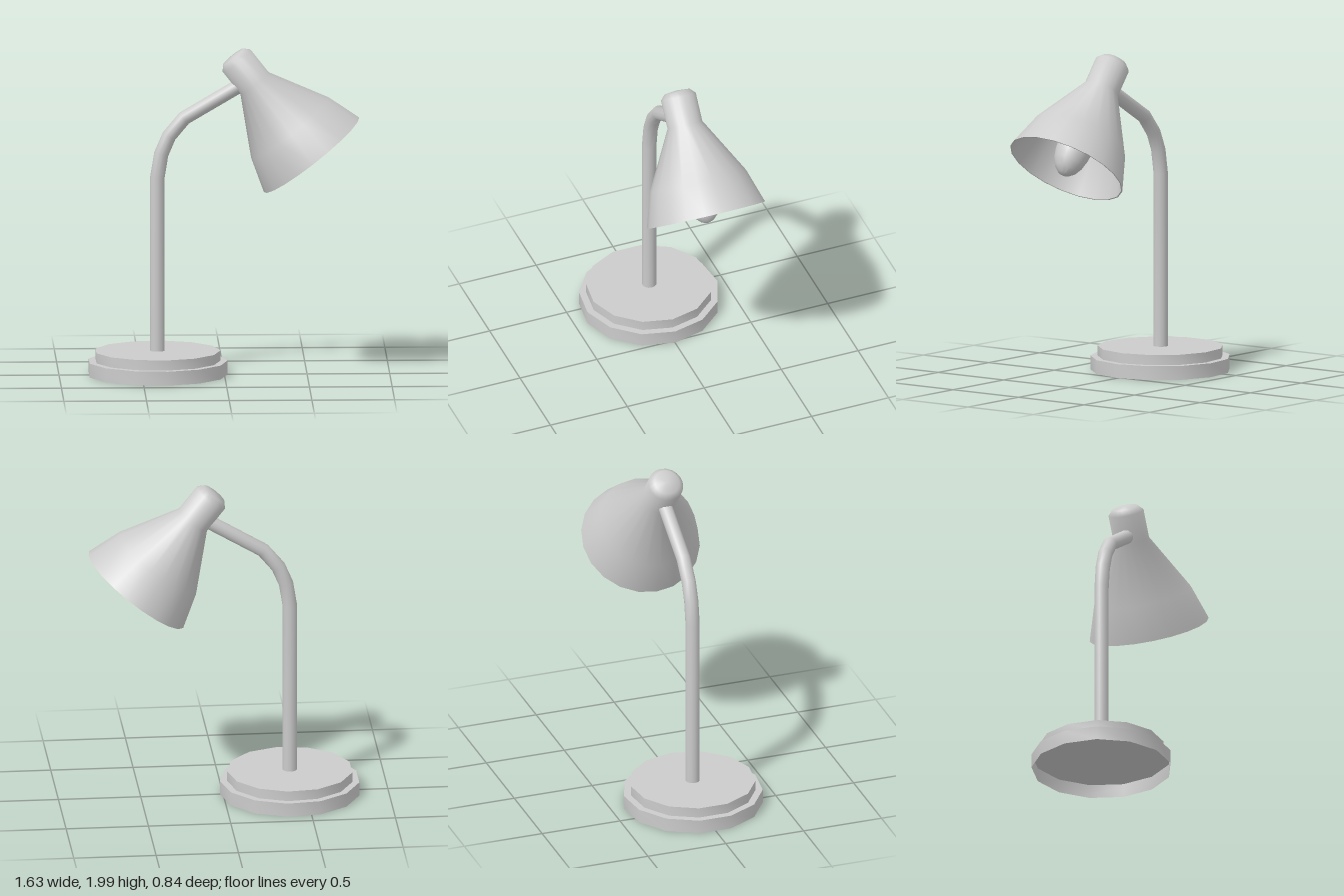
import * as THREE from 'three';
import { toCreasedNormals } from 'three/addons/utils/BufferGeometryUtils.js';

const BASE_X = -0.405;

export function createModel() {
  const lamp = new THREE.Group();
  lamp.name = 'deskLamp';
  const solid = new THREE.MeshStandardMaterial({ color: 0xcccccc });
  const open = new THREE.MeshStandardMaterial({ color: 0xcccccc, side: THREE.DoubleSide });

  const add = (parent, name, geometry, material = solid) => {
    const mesh = new THREE.Mesh(geometry, material);
    mesh.name = name;
    parent.add(mesh);
    return mesh;
  };
  const lathe = (profile, sides) => toCreasedNormals(
    new THREE.LatheGeometry(profile.map(([r, y]) => new THREE.Vector2(r, y)), sides, Math.PI / 2), 0.9);

  // Two stacked 13-sided lids, open underneath, one corner pointing to +x
  const lid = (name, radius, y0, y1) => {
    add(lamp, name, lathe([[radius, y0], [radius, y1], [0, y1]], 13), open).position.x = BASE_X;
  };
  lid('baseFoot', 0.425, 0, 0.085);
  lid('basePlate', 0.382, 0.085, 0.147);

  // Stem: upright, coarse bend, straight run into the shade's neck
  const points = [
    [BASE_X, 0.14], [BASE_X, 1.208], [-0.382, 1.35], [-0.335, 1.46], [-0.243, 1.57], [0.12, 1.784],
  ].map(([x, y]) => new THREE.Vector3(x, y, 0));
  const last = points.length - 1;
  const path = new THREE.CatmullRomCurve3(points);
  // Rings sit exactly on the listed points
  path.getPointAt = (u) => points[Math.round(u * last)].clone();
  path.getTangentAt = (u) => {
    const i = Math.round(u * last);
    const tangent = new THREE.Vector3();
    if (i > 0) tangent.add(points[i].clone().sub(points[i - 1]).normalize());
    if (i < last) tangent.add(points[i + 1].clone().sub(points[i]).normalize());
    return tangent.normalize();
  };
  add(lamp, 'stem', new THREE.TubeGeometry(path, last, 0.044, 12, false));

  // Head: origin at the centre of the rim, local +y runs up to the cap
  const head = new THREE.Group();
  head.name = 'head';
  head.position.set(0.5275, 1.342, 0);
  head.rotation.z = 0.665;
  lamp.add(head);

  // Thin shell: down the inside, round the rim, up the outside to the cap
  add(head, 'shade', lathe([
    [0, 0.762], [0.072, 0.757], [0.1, 0.728], [0.1, 0.56], [0.29, 0.213], [0.359, 0],
    [0.367, 0], [0.298, 0.213], [0.108, 0.56], [0.108, 0.735], [0.078, 0.767], [0, 0.774],
  ], 20));

  // Egg-shaped bulb tapering into its socket
  add(head, 'bulb', lathe([
    [0, -0.05], [0.037, -0.039], [0.069, -0.008], [0.093, 0.04], [0.106, 0.098],
    [0.109, 0.15], [0.107, 0.21], [0.099, 0.28], [0.083, 0.36], [0.062, 0.46], [0.055, 0.6], [0, 0.6],
  ], 20)).position.x = 0.006;

  return lamp;
}
